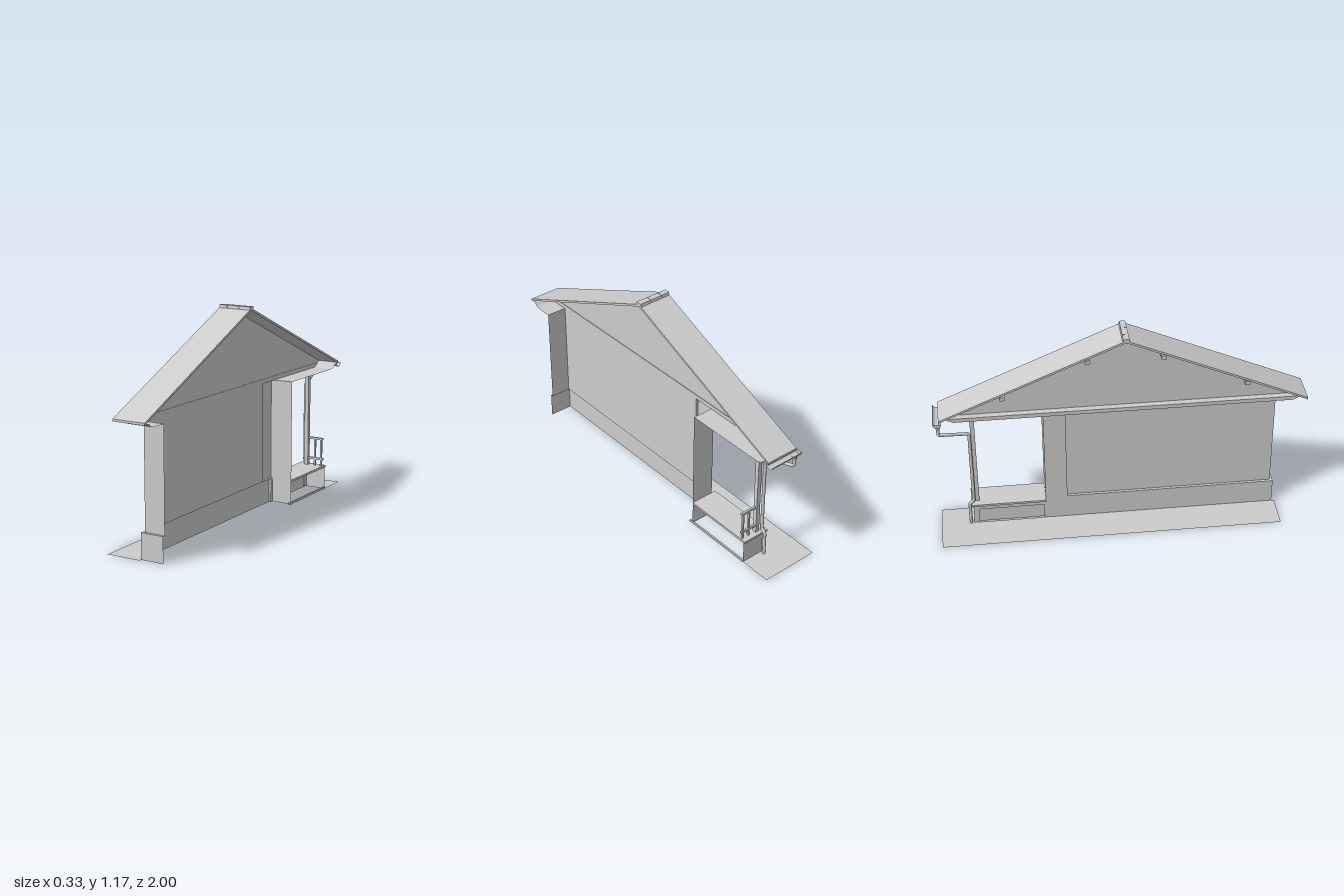
import * as THREE from 'three';

const X1 = 0.162; // cut plane: the slice is open on this side
const mat = new THREE.MeshStandardMaterial({ color: 0xcccccc, side: THREE.DoubleSide, flatShading: true });
const smooth = new THREE.MeshStandardMaterial({ color: 0xcccccc, side: THREE.DoubleSide });

export function createModel() {
  const model = new THREE.Group();

  const add = (name, geometry, material = mat) => {
    const mesh = new THREE.Mesh(geometry, material);
    mesh.name = name;
    model.add(mesh);
    return mesh;
  };

  // Box from min/max corners
  const box = (name, x0, x1, y0, y1, z0, z1) =>
    add(name, new THREE.BoxGeometry(x1 - x0, y1 - y0, z1 - z0)
      .translate((x0 + x1) / 2, (y0 + y1) / 2, (z0 + z1) / 2));

  const shapeOf = (pts) => new THREE.Shape(pts.map(([z, y]) => new THREE.Vector2(z, y)));

  // Flat polygon in the z-y plane
  const panel = (name, x, pts) =>
    add(name, new THREE.ShapeGeometry(shapeOf(pts)).rotateY(-Math.PI / 2).translate(x, 0, 0));

  // Solid z-y section extruded along x
  const prism = (name, x0, x1, pts) =>
    add(name, new THREE.ExtrudeGeometry(shapeOf(pts), { depth: x1 - x0, bevelEnabled: false })
      .rotateY(-Math.PI / 2).translate(x1, 0, 0));

  // Thin open sheet: z-y polyline swept along x
  const sheet = (name, x0, x1, pts) => {
    const pos = [], idx = [];
    pts.forEach(([z, y], i) => {
      pos.push(x0, y, z, x1, y, z);
      if (i) {
        const a = 2 * (i - 1);
        idx.push(a, a + 1, a + 2, a + 1, a + 3, a + 2);
      }
    });
    const g = new THREE.BufferGeometry();
    g.setAttribute('position', new THREE.Float32BufferAttribute(pos, 3));
    g.setIndex(idx);
    g.computeVertexNormals();
    return add(name, g);
  };

  const rect = (z0, z1, y0, y1) => [[z0, y0], [z1, y0], [z1, y1], [z0, y1]];

  // Ground strip wrapping the building footprint
  const ground = new THREE.Shape([
    [-0.165, -0.87], [0.03, -0.87], [0.03, 0.82], [X1, 0.82], [X1, 1], [-0.165, 1],
  ].map(([x, y]) => new THREE.Vector2(x, y)));
  add('ground', new THREE.ShapeGeometry(ground).rotateX(-Math.PI / 2));

  // Foundation shell with a ledge at its top
  panel('foundationSide', 0.03, rect(-0.42, 0.855, 0, 0.14));
  sheet('foundationFront', 0.03, X1, [[0.855, 0], [0.855, 0.14], [0.84, 0.14]]);
  sheet('foundationLedge', 0.03, 0.045, [[0.855, 0.14], [-0.42, 0.14]]);

  // Walls and the corner pier beside the porch
  panel('sideWall', 0.045, rect(-0.3, 0.84, 0.14, 0.7));
  sheet('frontWall', 0.045, X1, [[0.84, 0.14], [0.84, 0.7]]);
  panel('cornerPier', 0.03, rect(-0.42, -0.3, 0.14, 0.7));
  sheet('cornerPierReturn', 0.03, 0.045, [[-0.3, 0.14], [-0.3, 0.7]]);
  sheet('porchWall', 0.03, X1, [[-0.42, 0], [-0.42, 0.7]]);

  // Gable, its lower cornice and the eaves
  panel('gable', 0.045, [
    [0.93, 0.7], [0.96, 0.717], [0.985, 0.728], [0.02, 1.15],
    [-0.955, 0.73], [-0.925, 0.715], [-0.89, 0.7],
  ]);
  prism('gableCornice', 0.01, 0.048, [
    [0.93, 0.7], [0.96, 0.717], [0.955, 0.723], [-0.925, 0.723], [-0.925, 0.715], [-0.89, 0.7],
  ]);
  sheet('frontEave', 0.045, X1, [[0.84, 0.7], [0.93, 0.7], [0.95, 0.708], [0.965, 0.722], [0.99, 0.727]]);
  sheet('porchCeiling', 0.03, X1, [[-0.42, 0.7], [-0.89, 0.7], [-0.915, 0.708], [-0.93, 0.722], [-0.96, 0.73]]);

  // Roof slopes and ridge cap tiles
  prism('roof', -0.025, X1, [
    [1, 0.72], [1, 0.732], [0.02, 1.162], [-0.97, 0.737], [-0.97, 0.725], [0.02, 1.149],
  ]);
  for (const [x0, x1] of [[-0.025, 0.023], [0.025, 0.094], [0.096, X1]]) {
    prism('ridgeCap', x0, x1, [[0.04, 1.15], [0.036, 1.17], [0.004, 1.17], [0, 1.15]]);
  }

  // Purlin ends under the overhang
  for (const z of [0.67, 0.22, -0.18, -0.63]) {
    const y = 1.135 - 0.433 * Math.abs(z - 0.02);
    box('purlinEnd', -0.012, 0.045, y - 0.022, y, z - 0.014, z + 0.014);
  }

  // Porch base, open inside, with framed side
  panel('porchBaseSide', 0.04, rect(-0.8, -0.42, 0, 0.13));
  sheet('porchBaseEnd', 0.03, X1, [[-0.82, 0], [-0.82, 0.13]]);
  box('porchBaseBeam', 0.03, 0.042, 0.09, 0.13, -0.82, -0.42);
  box('porchBasePost', 0.03, 0.042, 0, 0.13, -0.82, -0.79);
  box('porchBasePost', 0.03, 0.042, 0, 0.13, -0.43, -0.4);
  box('porchFloor', 0.005, X1, 0.128, 0.14, -0.83, -0.42);
  box('porchEdgeTrim', X1 - 0.006, 0.165, 0, 0.012, -0.82, -0.4);

  // Column with capital
  box('column', 0.045, 0.068, 0.14, 0.7, -0.808, -0.785);
  box('columnCapital', 0.04, 0.073, 0.685, 0.7, -0.815, -0.778);

  // Railing
  for (const y of [0.175, 0.295]) box('handrail', 0.068, X1, y, y + 0.012, -0.802, -0.79);
  for (const x of [0.105, 0.145]) box('baluster', x, x + 0.01, 0.14, 0.3, -0.801, -0.791);

  // Half-round gutter along the back eave
  const arc = [];
  for (let i = 0; i <= 8; i++) {
    const a = Math.PI + (i / 8) * Math.PI;
    arc.push([-0.977 + 0.023 * Math.cos(a), 0.725 + 0.023 * Math.sin(a)]);
  }
  sheet('gutter', -0.035, X1, arc);
  panel('gutterEnd', -0.035, arc);

  // Downpipe with funnel
  add('downpipeFunnel', new THREE.CylinderGeometry(0.018, 0.01, 0.024, 12).translate(-0.01, 0.692, -0.975), smooth);
  const corners = [
    [-0.01, 0.69, -0.975], [-0.01, 0.64, -0.975], [0.032, 0.607, -0.815],
    [0.032, 0.152, -0.815], [0.032, 0.14, -0.838], [0.032, 0, -0.838],
  ].map((p) => new THREE.Vector3(...p));
  const path = new THREE.CurvePath();
  let from = corners[0];
  for (let i = 1; i < corners.length - 1; i++) {
    // Round each bend
    const c = corners[i];
    const a = c.clone().add(corners[i - 1].clone().sub(c).setLength(0.012));
    const b = c.clone().add(corners[i + 1].clone().sub(c).setLength(0.012));
    path.add(new THREE.LineCurve3(from, a));
    path.add(new THREE.QuadraticBezierCurve3(a, c, b));
    from = b;
  }
  path.add(new THREE.LineCurve3(from, corners[corners.length - 1]));
  add('downpipe', new THREE.TubeGeometry(path, 160, 0.009, 10, false), smooth);

  return model;
}
